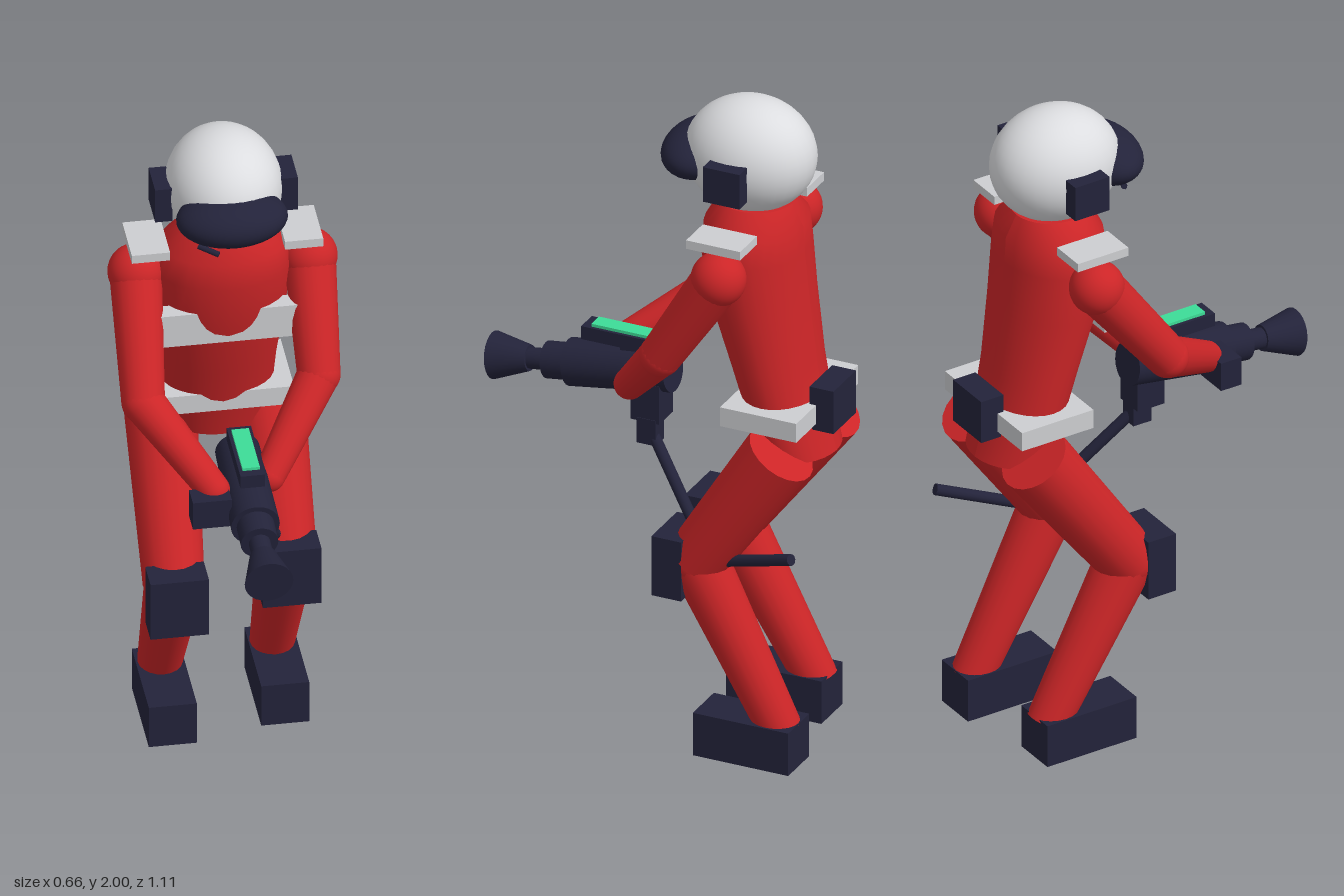
import * as THREE from 'three';

const mat = (name, color) => {
  const m = new THREE.MeshStandardMaterial({ color });
  m.name = name;
  return m;
};

export function createModel() {
  const root = new THREE.Group();
  root.name = 'suitedFigure';
  const red = mat('suit red', 0xcc2527);
  const dark = mat('dark navy', 0x23233a);
  const pale = mat('trim grey', 0xcdced1);
  const shell = mat('helmet white', 0xdcdde0);
  const green = mat('screen green', 0x3ddc97);

  const add = (name, geo, material, parent = root) => {
    const m = new THREE.Mesh(geo, material);
    m.name = name;
    parent.add(m);
    return m;
  };
  // box given by its min and max corners
  const box = (name, material, a, b, parent) => {
    const m = add(name, new THREE.BoxGeometry(b[0] - a[0], b[1] - a[1], b[2] - a[2]), material, parent);
    m.position.set((a[0] + b[0]) / 2, (a[1] + b[1]) / 2, (a[2] + b[2]) / 2);
    return m;
  };
  const ball = (name, material, c, r, parent) => {
    const m = add(name, new THREE.SphereGeometry(1, 32, 20), material, parent);
    m.position.set(...c);
    m.scale.set(...r);
    return m;
  };
  // tapered cylinder between two points
  const limb = (name, material, a, b, ra, rb, parent, sides = 20) => {
    const p = new THREE.Vector3(...a), q = new THREE.Vector3(...b), d = q.clone().sub(p);
    const m = add(name, new THREE.CylinderGeometry(rb, ra, d.length(), sides), material, parent);
    m.position.copy(p).add(q).multiplyScalar(0.5);
    m.quaternion.setFromUnitVectors(new THREE.Vector3(0, 1, 0), d.normalize());
    return m;
  };

  // Torso: elliptical rings [y, z centre, half width, half depth]
  const rings = [
    [0.94, -0.415, 0.14, 0.115], [1.08, -0.375, 0.16, 0.115], [1.2, -0.345, 0.165, 0.125],
    [1.4, -0.3, 0.185, 0.145], [1.55, -0.28, 0.195, 0.15], [1.63, -0.28, 0.18, 0.145],
    [1.695, -0.28, 0.11, 0.11],
  ];
  const n = rings.length - 1;
  const torso = new THREE.CylinderGeometry(1, 1, n, 28, n, false, Math.PI);
  const pos = torso.attributes.position;
  for (let i = 0; i < pos.count; i++) {
    const [y, zc, rx, rz] = rings[Math.round(pos.getY(i) + n / 2)];
    pos.setXYZ(i, pos.getX(i) * rx, y, zc + pos.getZ(i) * rz);
  }
  torso.computeVertexNormals();
  add('torso', torso, red);

  // Trim
  box('chestBand', pale, [-0.2, 1.35, -0.22], [0.2, 1.455, -0.165]);
  box('belt', pale, [-0.203, 1.05, -0.5], [0.203, 1.11, -0.26]);
  box('beltPack', dark, [-0.074, 1.03, -0.555], [0.074, 1.165, -0.48]);

  // Helmet
  const head = new THREE.Group();
  head.name = 'head';
  root.add(head);
  ball('helmet', shell, [0, 1.83, -0.26], [0.167, 0.17, 0.195], head);
  ball('visor', dark, [0, 1.815, -0.11], [0.16, 0.075, 0.11], head);
  limb('microphone', dark, [-0.1, 1.742, -0.09], [-0.045, 1.725, -0.062], 0.009, 0.009, head, 8);

  for (const s of [-1, 1]) {
    const side = s > 0 ? 'left' : 'right';
    const ear = box(side + 'EarPiece', dark, [-0.025, 1.755, -0.322], [0.025, 1.865, -0.207], head);
    ear.position.x = s * 0.18;
    const pad = box(side + 'ShoulderPad', pale, [-0.055, 1.633, -0.358], [0.055, 1.66, -0.188]);
    pad.position.x = s * 0.22;
  }

  // Arms
  const arms = [
    { side: 'left', shoulder: [0.25, 1.545, -0.278], elbow: [0.247, 1.26, -0.095], hand: [0.075, 1.05, 0.085] },
    { side: 'right', shoulder: [-0.25, 1.545, -0.278], elbow: [-0.265, 1.25, -0.05], hand: [-0.1, 1.09, 0.185] },
  ];
  for (const { side, shoulder, elbow, hand } of arms) {
    const g = new THREE.Group();
    g.name = side + 'Arm';
    root.add(g);
    ball('shoulder', red, shoulder, [0.08, 0.08, 0.08], g);
    limb('upperArm', red, shoulder, elbow, 0.075, 0.062, g);
    ball('elbow', red, elbow, [0.062, 0.062, 0.062], g);
    limb('forearm', red, elbow, hand, 0.061, 0.046, g);
    ball('hand', red, hand, [0.046, 0.046, 0.046], g);
  }

  // Legs: the right one steps slightly forward
  const legs = [
    { side: 'left', s: 1, knee: [0.165, 0.595, -0.17], ankle: [0.165, 0.1, -0.435], foot: -0.49, pad: [0.49, -0.16] },
    { side: 'right', s: -1, knee: [-0.165, 0.56, -0.125], ankle: [-0.165, 0.1, -0.39], foot: -0.435, pad: [0.455, -0.105] },
  ];
  for (const { side, s, knee, ankle, foot, pad } of legs) {
    const g = new THREE.Group();
    g.name = side + 'Leg';
    root.add(g);
    limb('thigh', red, [s * 0.155, 0.98, -0.43], knee, 0.105, 0.088, g);
    ball('knee', red, knee, [0.086, 0.086, 0.086], g);
    limb('shin', red, knee, ankle, 0.085, 0.063, g);
    const x = s * 0.166;
    box('kneePad', dark, [x - 0.084, pad[0], pad[1]], [x + 0.084, pad[0] + 0.188, pad[1] + 0.093], g);
    box('boot', dark, [x - 0.069, 0, foot], [x + 0.069, 0.135, foot + 0.3], g);
  }

  // Hand-held nozzle tool: sections [start z, end z, start radius, end radius] on one tilted axis
  const tool = new THREE.Group();
  tool.name = 'nozzleTool';
  root.add(tool);
  const axis = z => [0, 1.078 - 0.135 * z, z];
  const sections = [
    ['toolBody', -0.015, 0.305, 0.064, 0.07], ['toolCollar', 0.3, 0.378, 0.054, 0.054],
    ['toolBarrel', 0.37, 0.45, 0.031, 0.031], ['toolNozzle', 0.434, 0.545, 0.038, 0.07],
  ];
  for (const [name, z0, z1, r0, r1] of sections) limb(name, dark, axis(z0), axis(z1), r0, r1, tool, 24);
  box('screenMount', dark, [-0.025, 1.07, 0.03], [0.025, 1.14, 0.14], tool);
  box('screenHousing', dark, [-0.035, 1.135, 0.01], [0.035, 1.176, 0.257], tool);
  box('screen', green, [-0.025, 1.176, 0.033], [0.025, 1.185, 0.23], tool);
  box('sideHandle', dark, [-0.172, 1.01, 0.19], [-0.06, 1.1, 0.258], tool);
  box('grip', dark, [-0.03, 0.93, 0], [0.06, 1.05, 0.09], tool);
  box('gripBase', dark, [0.008, 0.86, 0.01], [0.062, 0.94, 0.07], tool);

  // Hose running back past the left leg
  const hose = [[0.04, 0.89, 0.03], [0.125, 0.7, -0.13], [0.175, 0.605, -0.25], [0.247, 0.698, -0.505]];
  for (let i = 0; i < 3; i++) {
    limb('hose', dark, hose[i], hose[i + 1], 0.017, 0.017, tool, 12);
    if (i) ball('hoseJoint', dark, hose[i], [0.017, 0.017, 0.017], tool);
  }
  return root;
}
